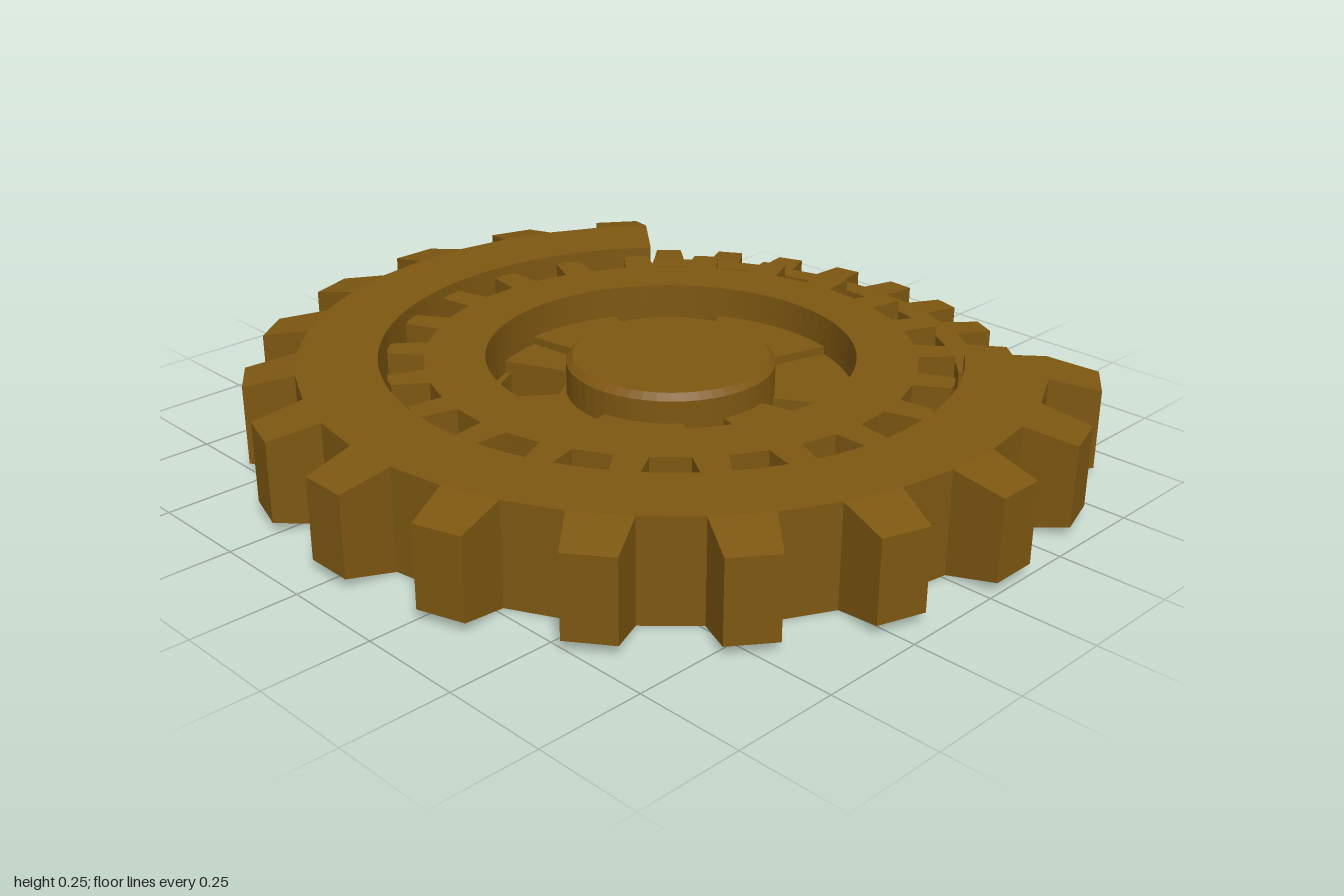
import * as THREE from 'three';

const CX = 0.08; // gear axis, offset from the overall centre
const material = new THREE.MeshStandardMaterial({ color: 0x7d5711, flatShading: true });
const polar = (r, deg) => {
  const a = THREE.MathUtils.degToRad(deg);
  return new THREE.Vector2(r * Math.cos(a), r * Math.sin(a));
};

// Points along an arc, angles counter-clockwise seen from above
function arc(r, a0, a1, step = 4) {
  const n = Math.max(1, Math.ceil(Math.abs(a1 - a0) / step));
  return Array.from({ length: n + 1 }, (_, i) => polar(r, a0 + (a1 - a0) * i / n));
}
const sector = (r0, r1, a0, a1) => [...arc(r1, a0, a1), ...arc(r0, a1, a0)];
const circle = (r) => arc(r, 0, 360).slice(0, -1);

// Extrude a plan outline upwards from y0 to y1
function slab(name, outline, y0, y1, holes = []) {
  const shape = new THREE.Shape(outline);
  holes.forEach((h) => shape.holes.push(new THREE.Path(h)));
  const geometry = new THREE.ExtrudeGeometry(shape, { depth: y1 - y0, bevelEnabled: false });
  geometry.rotateX(-Math.PI / 2).translate(0, y0, 0);
  const mesh = new THREE.Mesh(geometry, material);
  mesh.name = name;
  return mesh;
}

// Tooth narrowing towards its tip in plan and in height
function tooth(name, angle, root, tip, halfRoot, halfTip, y0, y1, drop) {
  const mesh = slab(name, [
    polar(root, angle - halfRoot), polar(tip, angle - halfTip),
    polar(tip, angle + halfTip), polar(root, angle + halfRoot),
  ], y0, y1);
  const p = mesh.geometry.attributes.position;
  const mid = (y0 + y1) / 2;
  for (let i = 0; i < p.count; i++) {
    if (Math.hypot(p.getX(i), p.getZ(i)) > (root + tip) / 2) {
      p.setY(i, p.getY(i) + (p.getY(i) > mid ? -drop : drop));
    }
  }
  mesh.geometry.computeVertexNormals();
  return mesh;
}

export function createModel() {
  const model = new THREE.Group();
  const gear = new THREE.Group();
  gear.name = 'gearAssembly';
  gear.position.x = CX;
  model.add(gear);

  // Open outer ring with fifteen large teeth
  const outer = [];
  for (let a = 54; a <= 306; a += 18) {
    outer.push(polar(0.88, a - 4.5), polar(0.88, a + 4.5));
    gear.add(tooth('outerTooth', a, 0.88, 1, 4.5, 3.3, 0, 0.245, 0.026));
  }
  gear.add(slab('outerRing', [...outer, ...arc(0.69, 310.5, 49.5)], 0, 0.245));

  // Exposed toothed segment in the opening of the ring
  const segment = [polar(0.735, -49.5)];
  for (let i = 0; i < 8; i++) {
    const a = -38.7 + i * 12;
    segment.push(polar(0.735, a - 3.2), polar(0.735, a + 3.2));
    gear.add(tooth('segmentTooth', a, 0.735, 0.832, 3.2, 2.3, 0, 0.195, 0.007));
  }
  gear.add(slab('toothedSegment', [...segment, ...arc(0.68, 49.5, -49.5)], 0, 0.195));

  // Base plate with curved slots and four pockets
  const slots = [30, 150, 270].map((a) => sector(0.55, 0.67, a - 17, a + 17));
  const pockets = [[28, 64], [114, 150], [232, 254], [285, 307]];
  const pocketHoles = pockets.map(([a, b]) => sector(0.27, 0.425, a, b));
  gear.add(slab('basePlate', circle(0.692), 0, 0.1, [...slots, ...pocketHoles]));

  // Inner gear ring
  const pitch = 360 / 22;
  const inner = [];
  for (let i = 0; i < 22; i++) {
    const a = 94 + i * pitch;
    inner.push(polar(0.672, a - 5.5), polar(0.585, a - 4.4), polar(0.585, a + 4.4),
      polar(0.672, a + 5.5), polar(0.675, a + pitch / 2));
  }
  gear.add(slab('innerGear', inner, 0.1, 0.228, [circle(0.44)]));

  // Stepped floor plates between hub and inner gear
  const floors = [
    [64, 97, 0.15], [97, 114, 0.13], [150, 188, 0.13], [188, 232, 0.15],
    [254, 283, 0.15], [283, 285, 0.12], [307, 344, 0.13], [344, 388, 0.15],
  ];
  floors.forEach(([a, b, y]) => gear.add(slab('floorPlate', sector(0.24, 0.445, a, b), 0.09, y)));

  // Small stepped blocks inside the pockets
  [[28, 1], [150, -1], [232, 1], [307, -1]].forEach(([start, dir], k) => {
    const count = k < 2 ? 3 : 1;
    for (let i = 0; i < count; i++) {
      const a = start + dir * i * 6, b = a + dir * 6;
      gear.add(slab('pocketStep', sector(0.25, 0.42 - i * 0.035, Math.min(a, b), Math.max(a, b)),
        0.03, 0.13 - i * 0.022));
    }
  });

  // Central hub with a bevelled rim
  const profile = [[0, 0.01], [0.25, 0.01], [0.25, 0.205], [0.235, 0.22], [0, 0.22]];
  const hub = new THREE.Mesh(
    new THREE.LatheGeometry(profile.map(([r, y]) => new THREE.Vector2(r, y)), 48), material);
  hub.name = 'hub';
  gear.add(hub);

  return model;
}
